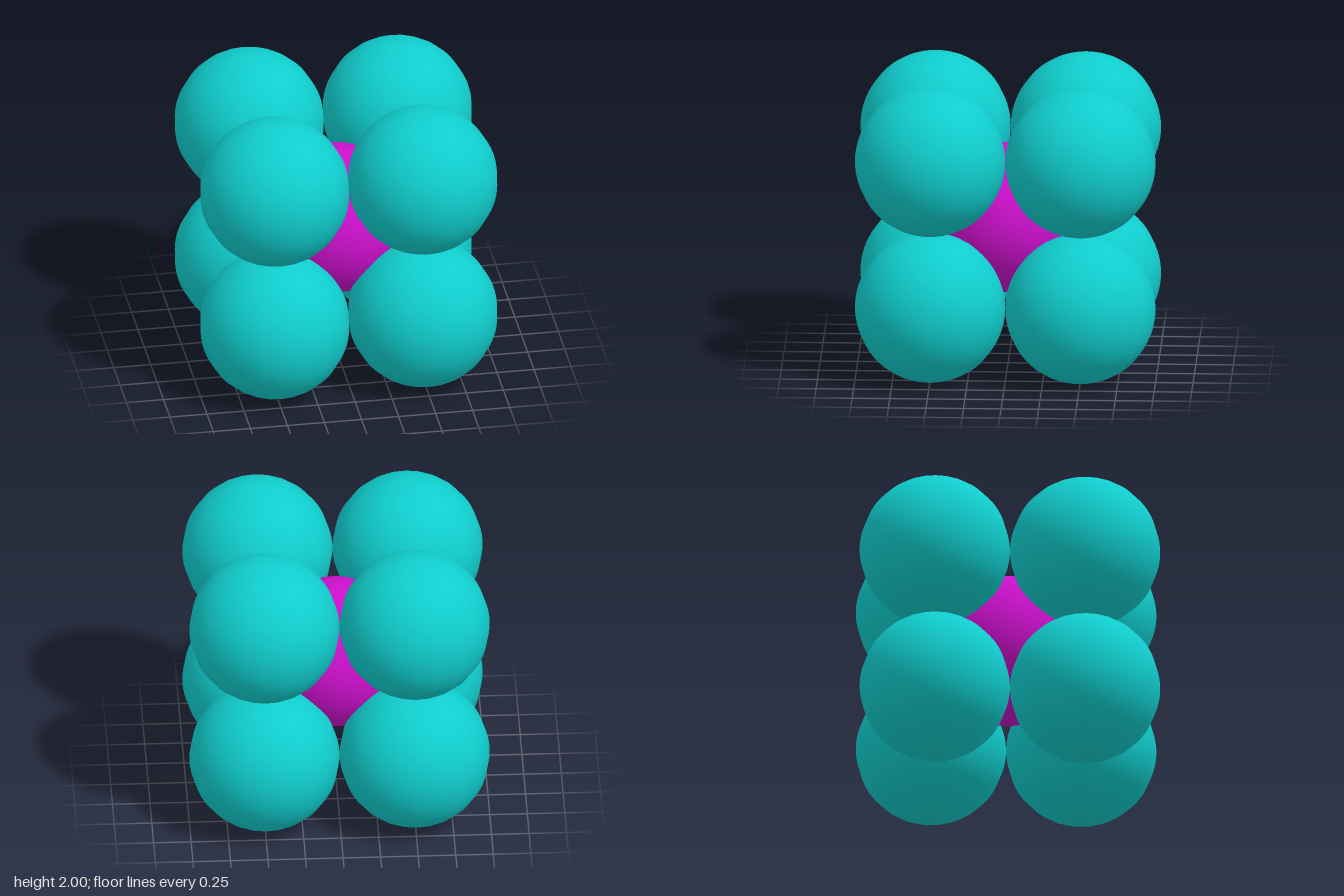
import * as THREE from 'three';

export function createModel() {
  const group = new THREE.Group();
  group.name = 'cubicLattice';

  const teal = new THREE.MeshStandardMaterial({ name: 'teal', color: 0x10cccc });
  const magenta = new THREE.MeshStandardMaterial({ name: 'magenta', color: 0xcc10cc });

  // One ball shape shared by every site of the lattice
  const ball = new THREE.SphereGeometry(0.5, 20, 40);

  function addBall(name, material, x, y, z) {
    const mesh = new THREE.Mesh(ball, material);
    mesh.name = name;
    mesh.position.set(x, y, z);
    group.add(mesh);
  }

  // Eight corner balls touching along the cube edges
  for (const x of [-0.5, 0.5])
    for (const y of [0.5, 1.5])
      for (const z of [-0.5, 0.5]) {
        const name = (y > 1 ? 'top' : 'bottom') + (z > 0 ? 'Front' : 'Back') + (x > 0 ? 'Left' : 'Right') + 'Ball';
        addBall(name, teal, x, y, z);
      }

  // Ball at the centre of the cube
  addBall('centreBall', magenta, 0, 1, 0);

  return group;
}
